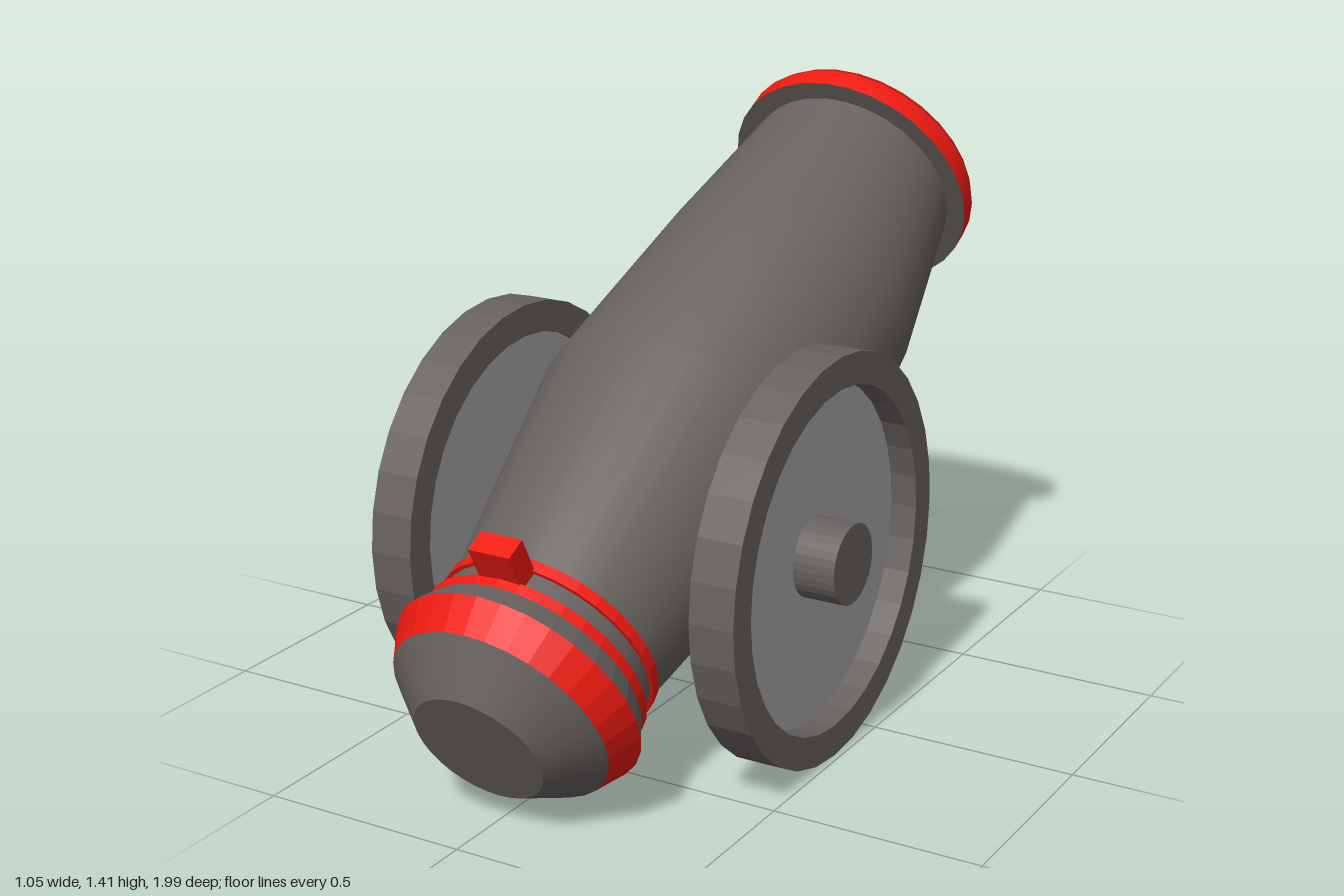
import * as THREE from 'three';

const SEGMENTS = 32;
const material = (color, flatShading = false) =>
  new THREE.MeshStandardMaterial({ color, flatShading });

export function createModel() {
  const model = new THREE.Group();
  model.name = 'cannon';

  const iron = material(0x67625f);
  const ironFlat = material(0x67625f, true);
  const red = material(0xee1a10);
  const redFlat = material(0xee1a10, true);
  const plate = material(0xa4a4a4, true);

  // Turned part from [radius, height] pairs
  function turned(name, profile, mat, parent) {
    const points = profile.map(([r, h]) => new THREE.Vector2(r, h));
    const mesh = new THREE.Mesh(new THREE.LatheGeometry(points, SEGMENTS), mat);
    mesh.name = name;
    parent.add(mesh);
    return mesh;
  }

  // Tilted gun: local y runs from breech to muzzle, local z is its upper side
  const gun = new THREE.Group();
  gun.name = 'gun';
  gun.position.set(0.01, 0.21, 0.925);
  gun.rotation.x = -1.085;
  model.add(gun);

  // Breech
  turned('breechCap', [[0, 0], [0.159, 0]], iron, gun);
  turned('breechCone', [[0.159, 0], [0.266, 0.094]], iron, gun);
  turned('breechBand', [[0.266, 0.094], [0.304, 0.172]], redFlat, gun);
  turned('breechShoulder', [[0.304, 0.172], [0.275, 0.228]], ironFlat, gun);
  turned('neck', [[0.262, 0.22], [0.256, 0.33]], iron, gun);
  for (const [t, r] of [[0.226, 0.276], [0.3, 0.267]]) {
    turned('neckRing', [[0.25, t], [r, t], [r, t + 0.027], [0.25, t + 0.027]], redFlat, gun);
  }

  // Barrel, its forward section pushed slightly sideways
  const barrel = turned('barrel',
    [[0.256, 0.326], [0.357, 0.943], [0.335, 1.487], [0.272, 1.932]], iron, gun);
  const pos = barrel.geometry.attributes.position;
  for (let i = 0; i < pos.count; i++) {
    if (Math.abs(pos.getY(i) - 1.487) < 0.01) pos.setX(i, pos.getX(i) + 0.023);
  }
  barrel.geometry.computeBoundingSphere();

  // Muzzle
  turned('muzzleBack', [[0.26, 1.93], [0.32, 1.93]], iron, gun);
  turned('muzzleRing',
    [[0.32, 1.93], [0.32, 1.98], [0.308, 2.003], [0.262, 2.005], [0.217, 1.985]], red, gun);
  turned('bore', [[0.217, 1.985], [0.217, 1.1]], iron, gun);
  turned('boreEnd', [[0.217, 1.1], [0, 1.1]], iron, gun);

  // Fuse block on the breech
  const fuse = new THREE.Mesh(new THREE.BoxGeometry(0.105, 0.056, 0.11), redFlat);
  fuse.name = 'fuseBlock';
  fuse.position.set(0, 0.278, 0.297);
  gun.add(fuse);

  // Wheels: rim, recessed plate and hub, turned about the axle
  for (const [name, side, inner, outer] of [
    ['leftWheel', 1, 0.378, 0.487], ['rightWheel', -1, 0.35, 0.457],
  ]) {
    const wheel = new THREE.Group();
    wheel.name = name;
    wheel.position.set(0, 0.485, 0.184);
    wheel.rotation.z = -side * Math.PI / 2;
    model.add(wheel);

    turned('rim', [[0.405, inner], [0.481, inner], [0.481, outer],
      [0.405, outer], [0.405, inner]], ironFlat, wheel);
    turned('wheelPlate', [[0, inner + 0.015], [0.405, inner + 0.015],
      [0.405, 0.422], [0, 0.422]], plate, wheel);
    turned('hub', [[0.095, 0.25], [0.095, 0.525], [0, 0.525]], ironFlat, wheel);
  }
  return model;
}
